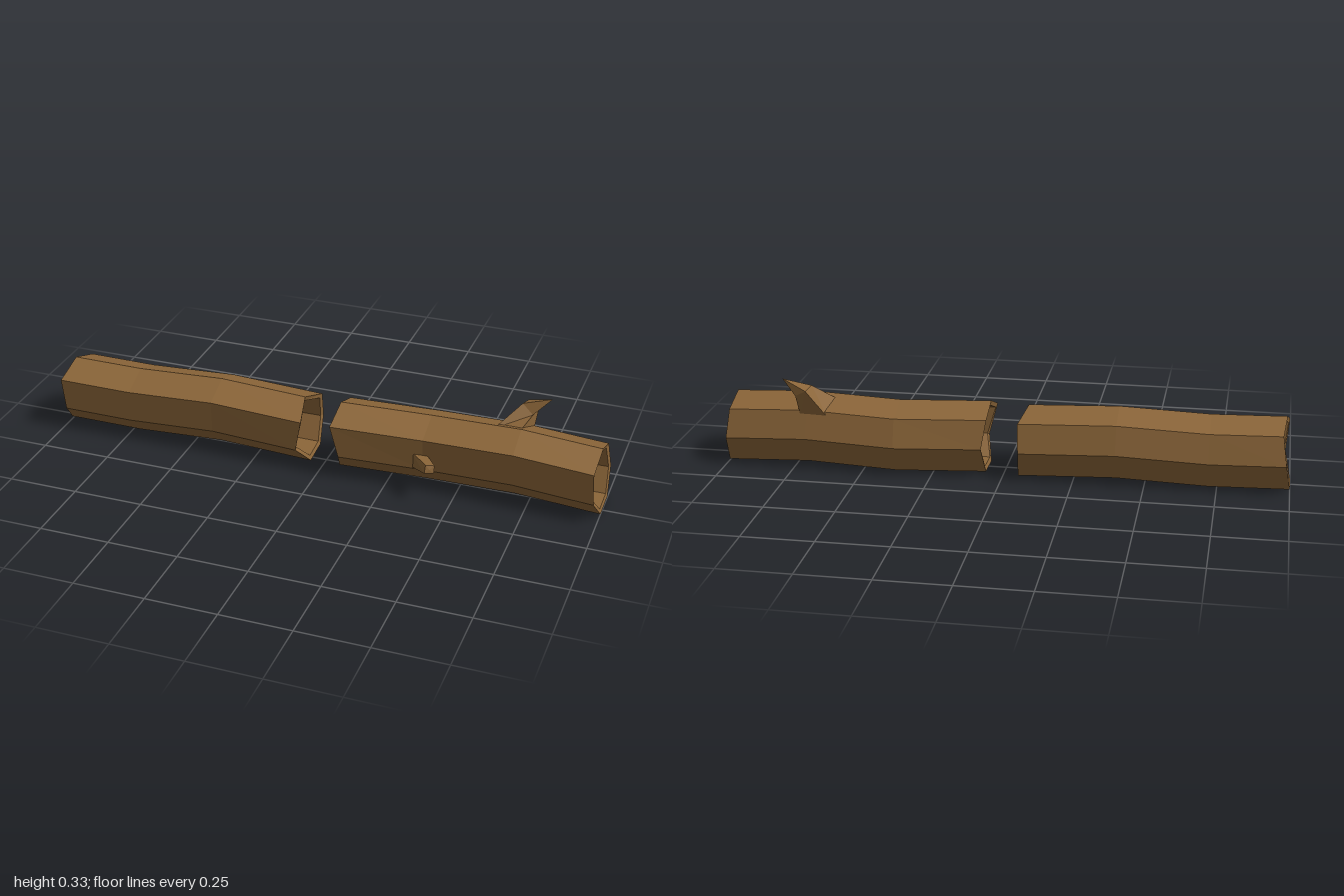
import * as THREE from 'three';

// Skin a list of cross-sections (each a loop of [x, y, z], counter-clockwise seen from the far end)
function loft(name, rings, material) {
  const pos = [];
  const n = rings[0].length;
  for (let i = 0; i < rings.length - 1; i++) {
    for (let j = 0; j < n; j++) {
      const k = (j + 1) % n;
      const a = rings[i][j], b = rings[i][k], c = rings[i + 1][k], d = rings[i + 1][j];
      pos.push(...a, ...b, ...c, ...a, ...c, ...d);
    }
  }
  const geometry = new THREE.BufferGeometry();
  geometry.setAttribute('position', new THREE.Float32BufferAttribute(pos, 3));
  geometry.computeVertexNormals();
  const mesh = new THREE.Mesh(geometry, material);
  mesh.name = name;
  return mesh;
}

// Seven-sided trunk outline as [z, y], and its centre
const OUTLINE = [[0, 0.242], [0.108, 0.197], [0.103, 0.08], [0.028, 0.003], [-0.088, 0.007], [-0.136, 0.105], [-0.108, 0.205]];
const CZ = -0.01, CY = 0.122;

// One cross-section: x per corner, moved by dy and dz, scaled about the centre
const section = (xs, dy, dz, scale = 1) => OUTLINE.map(([z, y], j) => [
  Array.isArray(xs) ? xs[j] : xs, CY + (y - CY) * scale + dy, CZ + (z - CZ) * scale + dz]);

// Trunk with uneven ends, each a rim around a recess with a shallow hollow floor
function log(name, left, mids, right, material) {
  const end = ({ xs, dy, dz }, inward) => {
    const x = xs.reduce((s, v) => s + v, 0) / xs.length;
    return [
      section(xs, dy, dz),
      section(xs.map((v) => v + inward * 0.005), dy, dz, 0.86),
      section(x + inward * 0.08, dy, dz, 0.85),
      section(x + inward * 0.11, dy, dz, 0),
    ];
  };
  return loft(name, [
    ...end(left, 1).reverse(),
    ...mids.map(([x, dy, dz]) => section(x, dy, dz)),
    ...end(right, -1),
  ], material);
}

export function createModel() {
  const group = new THREE.Group();
  const bark = new THREE.MeshStandardMaterial({ color: 0x8c6639 });
  bark.name = 'barkBrown';

  group.add(log('leftLog',
    { xs: [-0.98, -0.99, -0.98, -1, -1, -0.985, -0.97], dy: 0.006, dz: 0.006 },
    [[-0.72, 0.001, 0.001], [-0.4, 0.014, -0.004]],
    { xs: [-0.08, -0.058, -0.08, -0.05, -0.055, -0.06, -0.055], dy: 0, dz: 0 }, bark));

  group.add(log('rightLog',
    { xs: [0.055, 0.05, 0.08, 0.06, 0.06, 0.07, 0.055], dy: 0.006, dz: 0.003 },
    [[0.38, 0.001, -0.022], [0.7, 0.012, -0.01]],
    { xs: [0.985, 0.98, 0.985, 1, 1, 0.995, 0.985], dy: -0.003, dz: 0 }, bark));

  // Bent, pointed branch on the upper back of the right log
  const tip = [0.78, 0.33, -0.117];
  group.add(loft('branch', [
    [[0.6, 0.23, -0.025], [0.69, 0.235, -0.015], [0.72, 0.195, -0.118], [0.62, 0.195, -0.122]],
    [[0.68, 0.305, -0.1], [0.72, 0.272, -0.09], [0.73, 0.275, -0.138], [0.69, 0.297, -0.148]],
    [tip, tip, tip, tip],
  ], bark));

  // Short snapped twig on the front of the right log
  const cap = [0.425, 0.128, 0.149];
  group.add(loft('twigStub', [
    [[0.335, 0.08, 0.07], [0.39, 0.08, 0.07], [0.39, 0.14, 0.07], [0.335, 0.14, 0.07]],
    [[0.41, 0.115, 0.158], [0.44, 0.115, 0.145], [0.44, 0.14, 0.137], [0.41, 0.14, 0.144]],
    [cap, cap, cap, cap],
  ], bark));

  return group;
}
